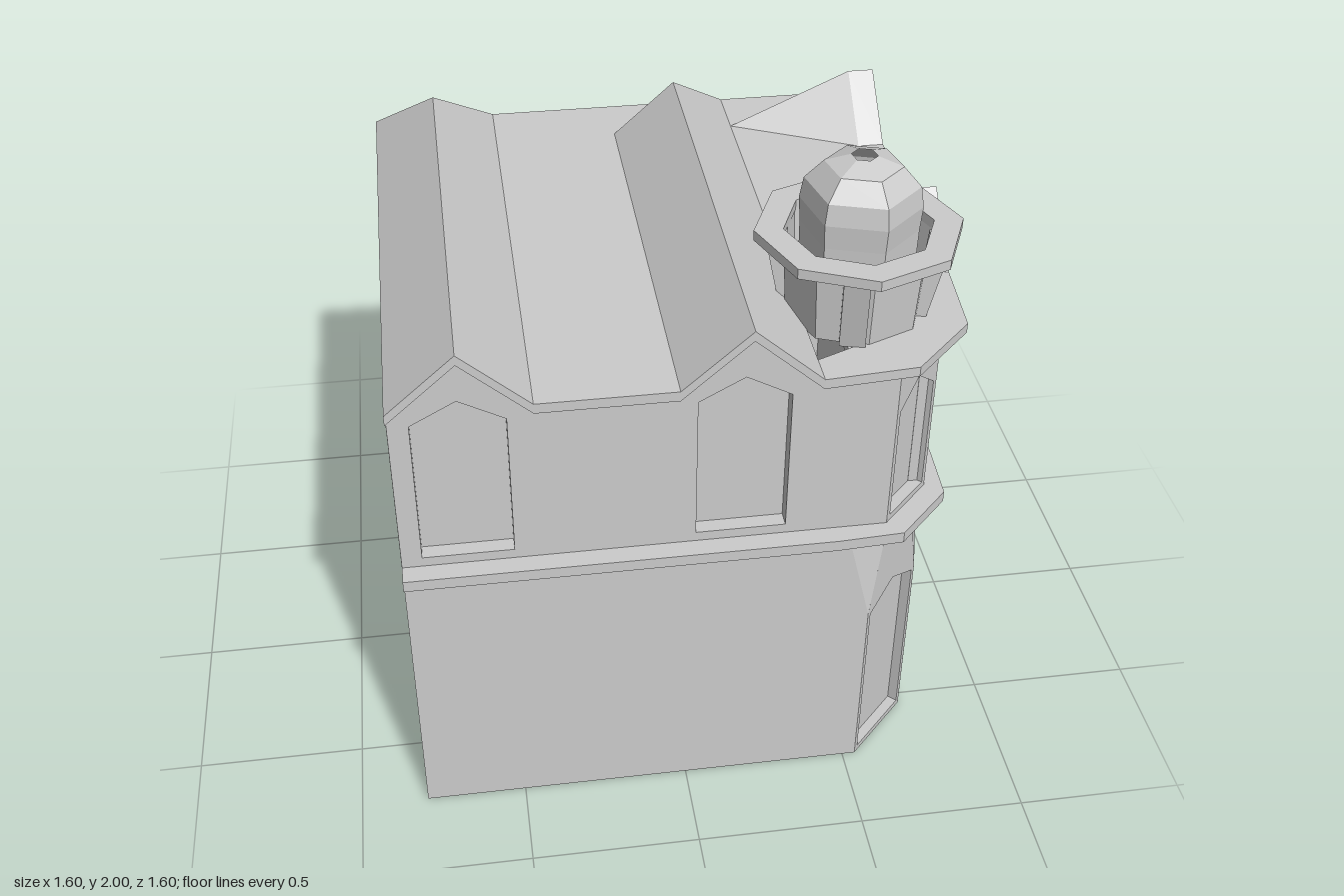
import * as THREE from 'three';

const mat = new THREE.MeshStandardMaterial({ color: 0xcccccc, flatShading: true, side: THREE.DoubleSide });

// Flat polygons (corner lists) joined into one geometry
function faces(polys) {
  const v = [];
  for (const p of polys)
    for (let i = 1; i < p.length - 1; i++) v.push(...p[0], ...p[i], ...p[i + 1]);
  const g = new THREE.BufferGeometry();
  g.setAttribute('position', new THREE.Float32BufferAttribute(v, 3));
  g.computeVertexNormals();
  return g;
}

// Mirror across the diagonal x = z, keeping faces outward
function swapped(geo) {
  const g = geo.index ? geo.toNonIndexed() : geo.clone();
  const p = g.attributes.position, q = p.clone();
  for (let i = 0; i < p.count; i++) {
    const j = i % 3 === 0 ? i : (i % 3 === 1 ? i + 1 : i - 1);
    p.setXYZ(i, q.getZ(j), q.getY(j), q.getX(j));
  }
  g.computeVertexNormals();
  return g;
}

const shapeOf = pts => new THREE.Shape(pts.map(p => new THREE.Vector2(...p)));

// Horizontal plate from a plan outline [x, z]
function plate(pts, y0, y1, hole) {
  const s = shapeOf(pts.map(([x, z]) => [x, -z]));
  if (hole) s.holes.push(shapeOf(hole.map(([x, z]) => [x, -z])));
  const g = new THREE.ExtrudeGeometry(s, { depth: y1 - y0, bevelEnabled: false });
  return g.rotateX(-Math.PI / 2).translate(0, y0, 0);
}

// Pointed opening outline
const arch = (cx, w, y0, shoulder, apex) => [
  [cx - w / 2, y0], [cx + w / 2, y0], [cx + w / 2, shoulder], [cx, apex], [cx - w / 2, shoulder]];

// Upright wall with recessed arches; outer face at local z = 0
function nicheWall(outline, arches, depth) {
  const s = shapeOf(outline);
  arches.forEach(a => s.holes.push(shapeOf(a)));
  const wall = new THREE.ExtrudeGeometry(s, { depth, bevelEnabled: false }).translate(0, 0, -depth);
  const backs = faces(arches.map(a => a.map(([x, y]) => [x, y, -depth + 0.004])));
  return [wall, backs];
}

export function createModel() {
  const root = new THREE.Group();
  const add = (name, geo) => {
    const m = new THREE.Mesh(geo, mat);
    m.name = name;
    root.add(m);
    return m;
  };
  const addPair = (name, geo) => {
    add('front' + name, geo);
    add('right' + name, swapped(geo));
  };

  const E = 1.53, R = 1.70, T = 0.03;   // eave height, ridge height, roof thickness
  const profile = [[-0.8, E], [-0.61, R], [-0.42, E], [-0.04, E], [0.15, R], [0.34, E]];

  // Plain back and left walls; the base stays open
  const plain = faces([[[-0.8, 0, 0.73], [-0.8, E, 0.73], [-0.8, E, -0.8], [-0.8, 0, -0.8]]]);
  add('leftWall', plain);
  add('backWall', swapped(plain));

  // Lower storey with the corner facet that narrows upward
  addPair('LowerWall', faces([
    [[-0.8, 0, 0.73], [0.54, 0, 0.73], [0.54, 0.6, 0.73], [0.46, 0.92, 0.73], [-0.8, 0.92, 0.73]],
    [[0.54, 0.6, 0.73], [0.59, 0.92, 0.68], [0.46, 0.92, 0.73]]]));
  const corner = (name, parts, c) => parts.forEach((g, i) =>
    add(name + (i ? 'Panel' : 'Wall'), g.rotateY(Math.PI / 4).translate(c, 0, c)));
  corner('door', nicheWall(
    [[-0.134, 0], [0.134, 0], [0.134, 0.6], [0.064, 0.92], [-0.064, 0.92], [-0.134, 0.6]],
    [arch(0, 0.24, 0.02, 0.59, 0.65)], 0.035), 0.635);

  // Ledge between the storeys
  add('ledge', plate([[-0.8, 0.78], [0.42, 0.78], [0.61, 0.77], [0.77, 0.61], [0.78, 0.42],
    [0.78, -0.8], [0.66, -0.8], [0.66, 0.54], [0.54, 0.66], [-0.8, 0.66]], 0.91, 0.945));

  // Upper storey: gabled walls with window niches
  const outline = [[-0.8, 0.94], [0.57, 0.94], [0.57, E - T],
    ...profile.slice().reverse().map(([x, y]) => [x, y - T])];
  const windows = [-0.615, 0.148].map(x => arch(x, 0.255, 0.975, 1.43, 1.5));
  nicheWall(outline, windows, 0.05).forEach((g, i) =>
    addPair(i ? 'WindowPanels' : 'UpperWall', g.translate(0, 0, 0.72)));
  corner('cornerNiche', nicheWall(
    [[-0.106, 0.94], [0.106, 0.94], [0.106, E - T], [-0.106, E - T]],
    [arch(0, 0.18, 0.965, 1.33, 1.4)], 0.04), 0.645);

  // Main roof slopes, running front to back, with hips at the back
  const roof = [], fascia = [];
  for (let i = 0; i < profile.length - 1; i++) {
    const [a, ya] = profile[i], [b, yb] = profile[i + 1];
    const back = i === 0 ? -0.8 : -0.61;
    roof.push([[a, ya, 0.8], [b, yb, 0.8], [b, yb, -0.61], [a, ya, back]]);
    fascia.push([[a, ya - T, 0.8], [b, yb - T, 0.8], [b, yb, 0.8], [a, ya, 0.8]],
      [[a, ya - T, 0.71], [b, yb - T, 0.71], [b, yb - T, 0.8], [a, ya - T, 0.8]]);
  }
  fascia.push([[-0.8, E - T, 0.71], [-0.8, E - T, 0.8], [-0.8, E, 0.8], [-0.8, E, 0.71]]);
  roof.push(
    [[-0.61, R, -0.61], [-0.42, E, -0.8], [-0.8, E, -0.8]],
    [[-0.61, R, -0.61], [-0.42, E, -0.61], [-0.42, E, -0.8]],
    [[-0.42, E, -0.61], [-0.04, E, -0.61], [0.15, E, -0.8], [-0.42, E, -0.8]],
    [[-0.04, E, -0.61], [0.15, R, -0.61], [0.15, E, -0.8]],
    [[0.15, R, -0.61], [0.34, E, -0.61], [0.34, E, -0.8], [0.15, E, -0.8]],
    [[0.34, E, 0.15], [0.72, E, 0.15], [0.72, E, -0.8], [0.34, E, -0.8]],
    [[0.72, E, -0.04], [0.8, E, -0.04], [0.8, E, -0.42], [0.72, E, -0.42]]);
  add('mainRoof', faces(roof));
  addPair('RoofEdge', faces(fascia));

  // Short gables on the right, sinking back into the flat roof
  for (const z of [-0.61, 0.15]) {
    const tip = [0.34, E, z], top = [0.72, R, z], end = [0.8, R, z];
    const n = z + 0.19, f = z - 0.19;
    add('sideGable', faces([
      [tip, [0.72, E, n], top], [top, [0.72, E, n], [0.8, E, n], end],
      [tip, top, [0.72, E, f]], [top, end, [0.8, E, f], [0.72, E, f]]]));
  }

  // Corner eave carrying the turret
  add('cornerEave', plate([[0.34, 0.8], [0.6, 0.78], [0.78, 0.6], [0.8, 0.34],
    [0.71, 0.34], [0.6, 0.6], [0.34, 0.71]], E - T, E));

  // Turret: open drum, flared brackets, gallery ring and faceted dome
  const turret = new THREE.Group();
  turret.name = 'turret';
  turret.position.set(0.49, 0, 0.47);
  root.add(turret);
  const part = (name, geo) => turret.add(Object.assign(new THREE.Mesh(geo, mat), { name }));
  const octagon = r => Array.from({ length: 8 }, (_, i) => {
    const a = i * Math.PI / 4 + 0.03;
    return [r * Math.cos(a), r * Math.sin(a)];
  });
  part('drum', new THREE.CylinderGeometry(0.205, 0.19, 0.24, 8, 1, true)
    .rotateY(Math.PI / 2).translate(0, 1.645, 0));
  for (let i = 0; i < 4; i++) {
    const s = shapeOf([[0.17, E], [0.2, E], [0.25, 1.765], [0.19, 1.765]]);
    part('bracket', new THREE.ExtrudeGeometry(s, { depth: 0.07, bevelEnabled: false })
      .translate(0, 0, -0.035).rotateY(-0.24 - i * Math.PI / 2));
  }
  part('galleryRing', plate(octagon(0.285), 1.76, 1.79, octagon(0.205)));
  const domeProfile = [[0.155, E], [0.16, 1.79], [0.165, 1.86], [0.155, 1.92], [0.105, 1.975], [0.035, 2.0]];
  part('dome', new THREE.LatheGeometry(domeProfile.map(p => new THREE.Vector2(...p)), 6)
    .rotateY(0.21));
  return root;
}
